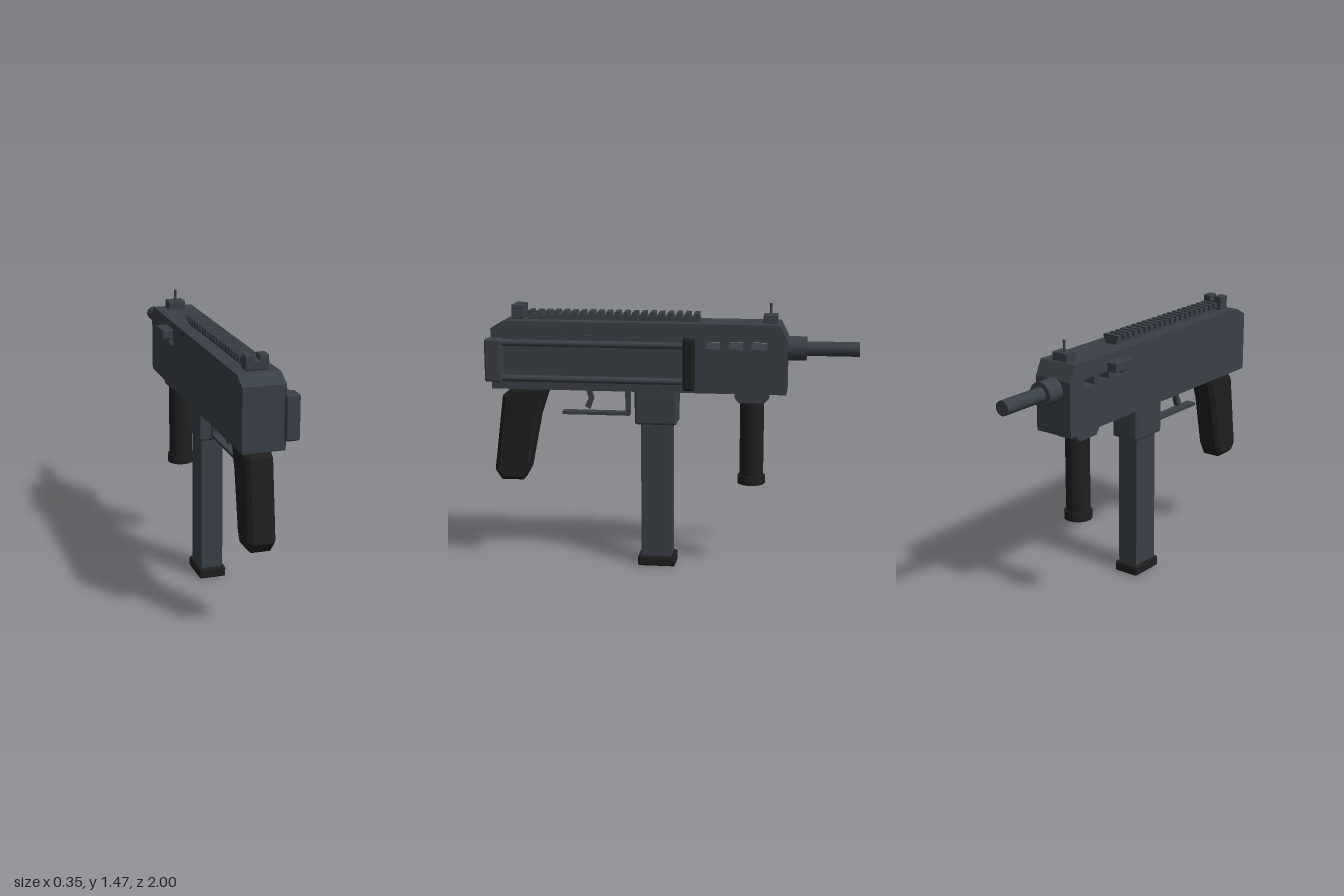
import * as THREE from 'three';
import { RoundedBoxGeometry } from 'three/addons/geometries/RoundedBoxGeometry.js';

const CX = -0.005; // centre line of the receiver

export function createModel() {
  const model = new THREE.Group();
  model.name = 'compactToyBlaster';
  const gunmetal = new THREE.MeshStandardMaterial({ color: 0x3a4047 });
  gunmetal.name = 'gunmetal';
  const black = new THREE.MeshStandardMaterial({ color: 0x1f1f1f });
  black.name = 'black polymer';

  const add = (name, geometry, material, x = 0, y = 0, z = 0) => {
    const mesh = new THREE.Mesh(geometry, material);
    mesh.name = name;
    mesh.position.set(x, y, z);
    model.add(mesh);
    return mesh;
  };

  // Box from its limits, with an optional softened edge
  const box = (name, material, [x0, x1], [y0, y1], [z0, z1], r = 0) => {
    const size = [x1 - x0, y1 - y0, z1 - z0];
    const geometry = r ? new RoundedBoxGeometry(...size, 2, r) : new THREE.BoxGeometry(...size);
    return add(name, geometry, material, (x0 + x1) / 2, (y0 + y1) / 2, (z0 + z1) / 2);
  };

  // Side profile of [z, y] points extruded across x
  const profile = (name, material, points, width, bevel = 0, holes = []) => {
    const toVectors = (list) => list.map(([z, y]) => new THREE.Vector2(z, y));
    const shape = new THREE.Shape(toVectors(points));
    for (const hole of holes) shape.holes.push(new THREE.Path(toVectors(hole)));
    const geometry = new THREE.ExtrudeGeometry(shape, {
      depth: width - 2 * bevel, bevelEnabled: bevel > 0, bevelSize: bevel,
      bevelThickness: bevel, bevelOffset: -bevel, bevelSegments: 1,
    });
    geometry.translate(0, 0, bevel - width / 2);
    geometry.rotateY(-Math.PI / 2);
    return add(name, geometry, material, CX);
  };

  // Cylinder along z
  const tube = (name, material, r, z0, z1, x, y) => {
    const geometry = new THREE.CylinderGeometry(r, r, z1 - z0, 24).rotateX(Math.PI / 2);
    return add(name, geometry, material, x, y, (z0 + z1) / 2);
  };

  // Receiver with see-through vents
  const vents = [[-0.265, -0.185], [-0.387, -0.305], [-0.515, -0.427]].map(
    ([a, b]) => [[a, 1.235], [a, 1.275], [b, 1.275], [b, 1.235]]);
  profile('receiver', gunmetal, [
    [0.977, 0.995], [0.977, 1.325], [0.9, 1.367], [-0.58, 1.367], [-0.619, 1.287], [-0.619, 0.995],
  ], 0.222, 0, vents);
  box('ejectionPort', gunmetal, [0.104, 0.111], [1.21, 1.295], [0.345, 0.58]);
  box('chargingHandle', gunmetal, [-0.177, -0.11], [1.275, 1.328], [-0.32, -0.185], 0.008);

  // Barrel
  tube('barrelCollar', gunmetal, 0.065, -0.72, -0.6, CX, 1.23);
  tube('barrel', gunmetal, 0.039, -1, -0.7, CX, 1.23);

  // Top rail
  box('railBase', gunmetal, [-0.04, 0.03], [1.36, 1.395], [-0.148, 0.785]);
  for (let i = 0; i < 20; i++) {
    const z = -0.132 + i * 0.0475;
    box('railTooth', gunmetal, [-0.053, 0.043], [1.385, 1.415], [z - 0.013, z + 0.013]);
  }

  // Sights
  box('rearSightFoot', gunmetal, [-0.052, 0.042], [1.36, 1.38], [0.812, 0.865]);
  box('rearSightBase', gunmetal, [-0.064, 0.056], [1.373, 1.42], [0.805, 0.87], 0.005);
  for (const side of [-1, 1]) {
    const x = CX + side * 0.037;
    box('rearSightEar', gunmetal, [x - 0.023, x + 0.023], [1.41, 1.448], [0.805, 0.87], 0.005);
  }
  box('frontSightBase', gunmetal, [-0.053, 0.043], [1.36, 1.412], [-0.565, -0.488], 0.006);
  add('frontSightPost', new THREE.CylinderGeometry(0.007, 0.007, 0.07, 10), gunmetal, CX, 1.435, -0.527);

  // Collapsed side stock
  box('stockButt', gunmetal, [0.098, 0.172], [1.043, 1.276], [0.908, 1], 0.012);
  for (const y of [1.255, 1.062]) tube('stockRod', gunmetal, 0.018, -0.09, 0.92, 0.139, y);
  box('stockPad', black, [0.117, 0.164], [1.016, 1.298], [-0.135, -0.069], 0.015);

  // Pistol grip
  profile('pistolGrip', black, [
    [0.685, 0.995], [0.69, 0.965], [0.735, 0.83], [0.794, 0.535], [0.828, 0.47],
    [0.95, 0.47], [0.987, 0.524], [0.933, 0.947], [0.875, 0.995],
  ], 0.144, 0.022);

  // Trigger and guard
  profile('trigger', gunmetal, [
    [0.457, 1], [0.484, 1], [0.462, 0.935], [0.484, 0.89], [0.457, 0.873], [0.435, 0.935],
  ], 0.03);
  box('guardBar', gunmetal, [-0.033, 0.023], [0.843, 0.86], [0.235, 0.607]);
  box('guardPost', gunmetal, [-0.033, 0.023], [0.85, 1], [0.234, 0.258]);

  // Magazine
  box('magazineWell', gunmetal, [-0.087, 0.079], [0.806, 1], [-0.03, 0.2], 0.015);
  box('magazine', gunmetal, [-0.065, 0.055], [0.04, 0.83], [0, 0.168]);
  box('magazineFloor', black, [-0.08, 0.07], [0, 0.058], [-0.02, 0.188], 0.012);

  // Foregrip
  profile('foregripMount', gunmetal, [
    [-0.525, 1], [-0.34, 1], [-0.34, 0.965], [-0.365, 0.938], [-0.5, 0.938], [-0.525, 0.965],
  ], 0.144);
  add('foregrip', new THREE.CylinderGeometry(0.065, 0.065, 0.44, 24), black, CX, 0.73, -0.432);
  add('foregripCap', new THREE.CylinderGeometry(0.075, 0.075, 0.045, 24), black, CX, 0.503, -0.432);

  return model;
}
